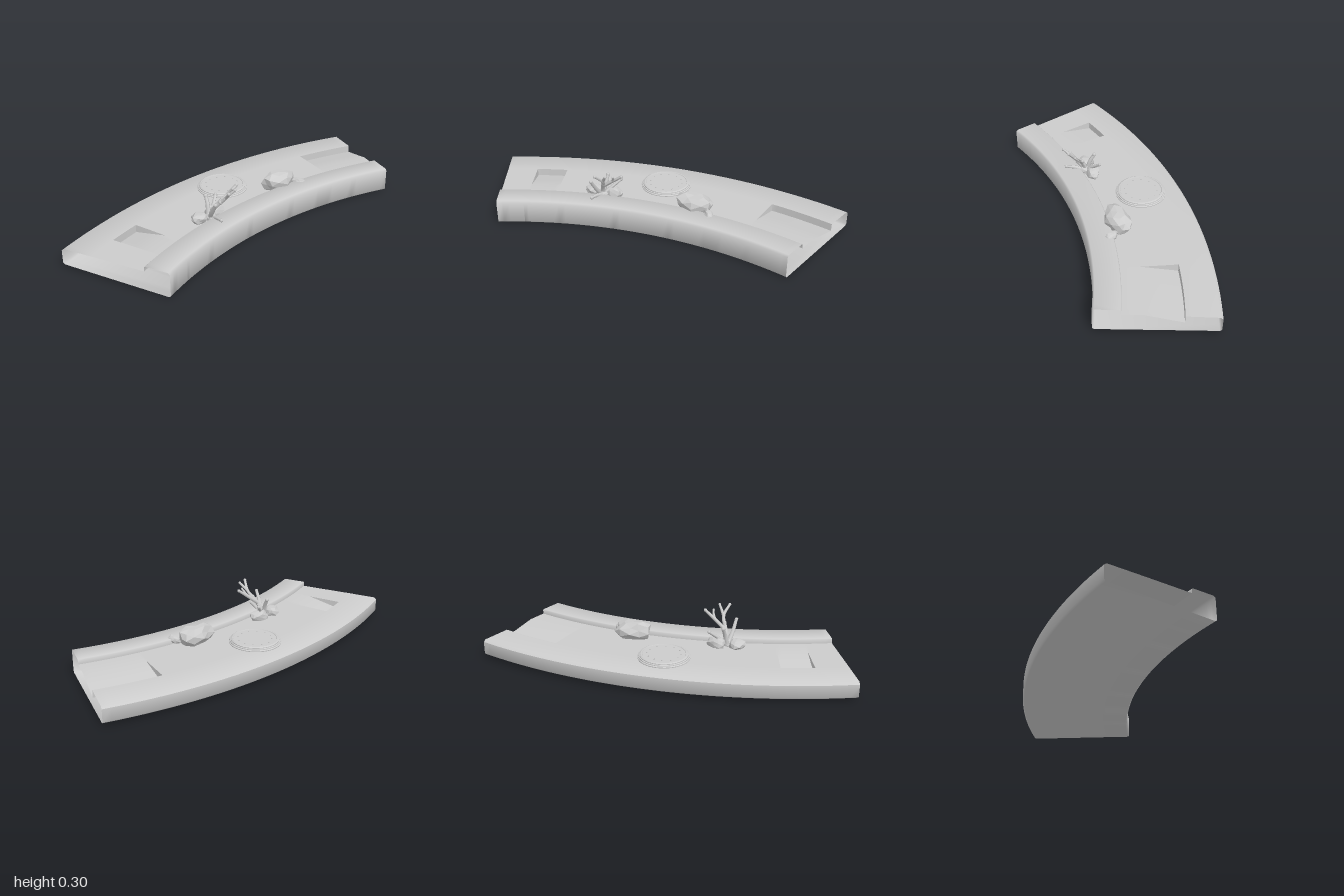
import * as THREE from 'three';
import { toCreasedNormals, mergeVertices } from 'three/addons/utils/BufferGeometryUtils.js';

const CX = -0.38, CZ = 2.43;            // centre of the arc
const DEG = Math.PI / 180;
const START = -12.4, END = 28.65;       // sweep in degrees
const DECK = 0.104;

const grey = () => new THREE.MeshStandardMaterial({ color: 0xcccccc, side: THREE.DoubleSide });
const flat = () => new THREE.MeshStandardMaterial({ color: 0xcccccc, flatShading: true });

function add(group, name, geometry, material) {
  const mesh = new THREE.Mesh(geometry, material);
  mesh.name = name;
  group.add(mesh);
  return mesh;
}

// Sunken ramps in the deck: flush at the inner edge, deepest at the outer edge
const RAMPS = [[-8.7, -5], [21.2, 30]];
const RAMP_IN = 2.51, RAMP_OUT = 2.7, RAMP_DEPTH = 0.04;
function sink(r, a) {
  if (r <= RAMP_IN || r > RAMP_OUT) return 0;
  const inside = RAMPS.some(([a0, a1]) => a >= a0 && a <= a1);
  return inside ? RAMP_DEPTH * (r - RAMP_IN) / (RAMP_OUT - RAMP_IN) : 0;
}

// Sweeps a [radius, height] profile around the arc
function sweep(profile, angles, drop) {
  const pos = [], idx = [], n = profile.length;
  for (const a of angles) {
    for (const [r, y] of profile) {
      const t = a * DEG;
      pos.push(CX + r * Math.sin(t), y - drop(r, a), CZ - r * Math.cos(t));
    }
  }
  for (let i = 0; i < angles.length - 1; i++) {
    for (let j = 0; j < n - 1; j++) {
      const p = i * n + j, q = p + n;
      idx.push(p, q, q + 1, p, q + 1, p + 1);
    }
  }
  const g = new THREE.BufferGeometry();
  g.setAttribute('position', new THREE.Float32BufferAttribute(pos, 3));
  g.setIndex(idx);
  return toCreasedNormals(g, 0.9);
}

// Angular faceted stone
function rock(seed, size, position, turn) {
  const g = mergeVertices(new THREE.IcosahedronGeometry(1, 1).deleteAttribute('normal').deleteAttribute('uv'), 1e-3);
  const p = g.attributes.position, v = new THREE.Vector3();
  for (let i = 0; i < p.count; i++) {
    v.fromBufferAttribute(p, i);
    v.multiplyScalar(0.95 + 0.13 * Math.sin(seed + i * 2.7));
    v.y = Math.min(v.y, 0.8 - 0.15 * v.x);
    p.setXYZ(i, v.x, v.y, v.z);
  }
  g.scale(...size).rotateY(turn).translate(...position);
  g.computeVertexNormals();
  return g;
}

// Tapered branch with a rounded tip
function branch(group, points, radius) {
  const curve = new THREE.CatmullRomCurve3(points.map(p => new THREE.Vector3(...p)));
  const g = new THREE.TubeGeometry(curve, 8, radius, 7);
  const p = g.attributes.position, v = new THREE.Vector3();
  for (let i = 0; i < p.count; i++) {
    const t = Math.floor(i / 8) / 8, c = curve.getPointAt(t);
    v.fromBufferAttribute(p, i).sub(c).multiplyScalar(1.15 - 0.4 * t).add(c);
    p.setXYZ(i, v.x, v.y, v.z);
  }
  g.computeVertexNormals();
  add(group, 'branch', g, grey());
  const tip = new THREE.SphereGeometry(radius * 0.95, 7, 5);
  tip.translate(...points[points.length - 1]);
  add(group, 'branchTip', tip, grey());
}

export function createModel() {
  const model = new THREE.Group();
  model.name = 'curvedPlatform';

  // Curved shell, open at both ends: raised front rim, deck, back wall, underside
  const angles = [];
  for (let i = 0; i <= 48; i++) angles.push(START + (END - START) * i / 48);
  for (const a of [RAMPS[0][0], RAMPS[0][1], RAMPS[1][0]]) angles.push(a - 0.02, a + 0.02);
  angles.sort((a, b) => a - b);
  const profile = [
    [2.275, 0], [2.266, 0.008], [2.266, 0.121], [2.275, 0.131], [2.40, 0.131], [2.404, 0.127], [2.404, DECK],
    [RAMP_IN, DECK], [2.6, DECK], [RAMP_OUT, DECK], [RAMP_OUT + 0.001, DECK],
    [2.862, 0.103], [2.876, 0.092], [2.876, 0.024], [2.866, 0.015], [2.275, 0],
  ];
  add(model, 'platformShell', sweep(profile, angles, sink), grey());

  // Round stepped plate on the deck
  const plate = [
    [0.138, 0.095], [0.14, 0.108], [0.135, 0.112], [0.135, 0.116], [0.129, 0.118],
    [0.129, 0.122], [0.122, 0.126], [0.116, 0.126], [0.114, 0.123], [0, 0.123],
  ].map(([x, y]) => new THREE.Vector2(x, y));
  const plateMesh = add(model, 'roundPlate', toCreasedNormals(new THREE.LatheGeometry(plate, 40), 0.5), grey());
  plateMesh.position.set(-0.01, 0, -0.195);

  // Small studs around the plate
  for (let i = 0; i < 12; i++) {
    const a = i * Math.PI / 6;
    const stud = add(model, 'plateStud', new THREE.CylinderGeometry(0.004, 0.004, 0.004, 6), grey());
    stud.position.set(-0.01 + 0.09 * Math.cos(a), 0.124, -0.195 + 0.09 * Math.sin(a));
  }

  // Large boulder with a pointed chip beside it
  add(model, 'boulder', rock(1.3, [0.11, 0.065, 0.068], [0.19, 0.142, 0.05], -0.15), flat());
  add(model, 'boulderChip', rock(4.1, [0.024, 0.026, 0.045], [0.275, 0.125, 0.125], 0.3), flat());

  // Stones around the foot of the coral
  const coral = new THREE.Group();
  coral.name = 'coral';
  model.add(coral);
  const stones = [
    [0.2, [0.05, 0.035, 0.042], [-0.385, 0.122, -0.035], 0.3],
    [2.5, [0.055, 0.038, 0.04], [-0.275, 0.122, -0.025], -0.4],
    [5.2, [0.035, 0.03, 0.03], [-0.33, 0.115, 0.0], 0.8],
  ];
  for (const s of stones) add(coral, 'footStone', rock(...s), flat());

  // Forked coral branches
  const branches = [
    [[[-0.33, 0.1, -0.01], [-0.325, 0.16, 0.01], [-0.312, 0.21, 0.05]], 0.013],
    [[[-0.312, 0.205, 0.045], [-0.305, 0.24, 0.08], [-0.335, 0.288, 0.125]], 0.009],
    [[[-0.307, 0.235, 0.075], [-0.295, 0.26, 0.095], [-0.28, 0.288, 0.12]], 0.008],
    [[[-0.32, 0.18, 0.02], [-0.265, 0.225, 0.045], [-0.205, 0.272, 0.068]], 0.01],
    [[[-0.26, 0.23, 0.047], [-0.252, 0.25, 0.06], [-0.25, 0.27, 0.08]], 0.007],
    [[[-0.34, 0.12, 0.0], [-0.36, 0.17, 0.035], [-0.375, 0.225, 0.07]], 0.011],
    [[[-0.33, 0.12, -0.02], [-0.32, 0.17, -0.03], [-0.31, 0.215, -0.052]], 0.012],
    [[[-0.32, 0.12, -0.01], [-0.275, 0.16, -0.03], [-0.235, 0.193, -0.05]], 0.01],
    [[[-0.33, 0.12, 0.01], [-0.35, 0.138, 0.06], [-0.365, 0.145, 0.1]], 0.01],
  ];
  for (const [points, radius] of branches) branch(coral, points, radius);

  return model;
}
